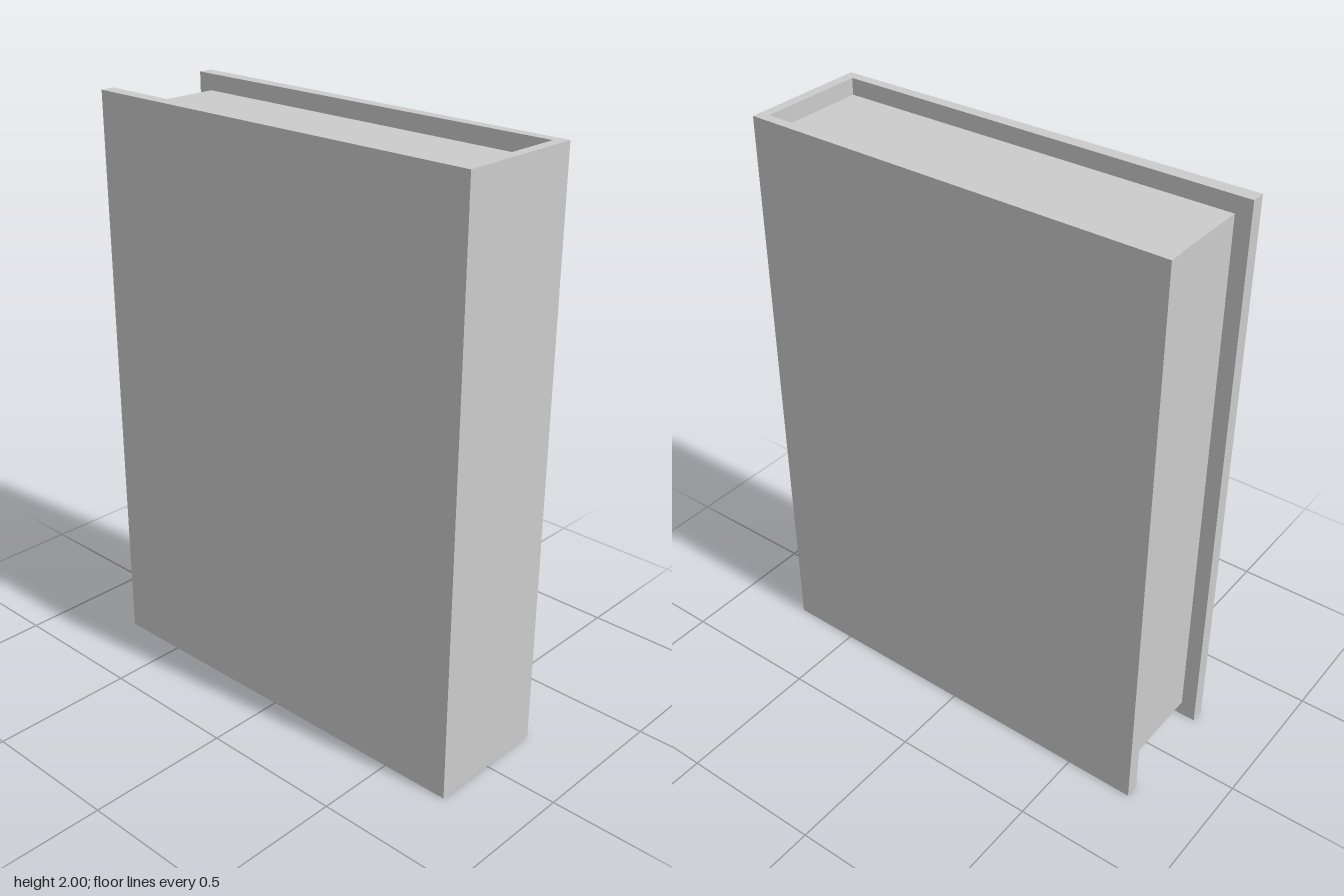
import * as THREE from 'three';

export function createModel() {
  const book = new THREE.Group();
  book.name = 'book';
  const material = new THREE.MeshStandardMaterial({ color: 0xcccccc, flatShading: true });

  const height = 2;
  const halfWidth = 0.74;
  const inner = 0.187; // half thickness of the page block
  const spineInner = 0.705;

  // Cover: a U-shaped outline, slightly thicker towards the open edge, extruded upwards
  const outline = [
    [-halfWidth, -0.236], [halfWidth, -0.221], [halfWidth, 0.221], [-halfWidth, 0.236],
    [-halfWidth, inner], [spineInner, inner], [spineInner, -inner], [-halfWidth, -inner],
  ];
  const shape = new THREE.Shape(outline.map(([x, z]) => new THREE.Vector2(x, z)));
  const coverGeometry = new THREE.ExtrudeGeometry(shape, { depth: height, bevelEnabled: false });
  coverGeometry.rotateX(-Math.PI / 2);
  const cover = new THREE.Mesh(coverGeometry, material);
  cover.name = 'cover';
  book.add(cover);

  // Pages: a plain block set back from the top, bottom and open edge
  const inset = 0.056;
  const pageLeft = -0.687;
  const pages = new THREE.Mesh(
    new THREE.BoxGeometry(spineInner - pageLeft, height - 2 * inset, 2 * inner),
    material
  );
  pages.position.set((spineInner + pageLeft) / 2, height / 2, 0);
  pages.name = 'pages';
  book.add(pages);

  return book;
}
